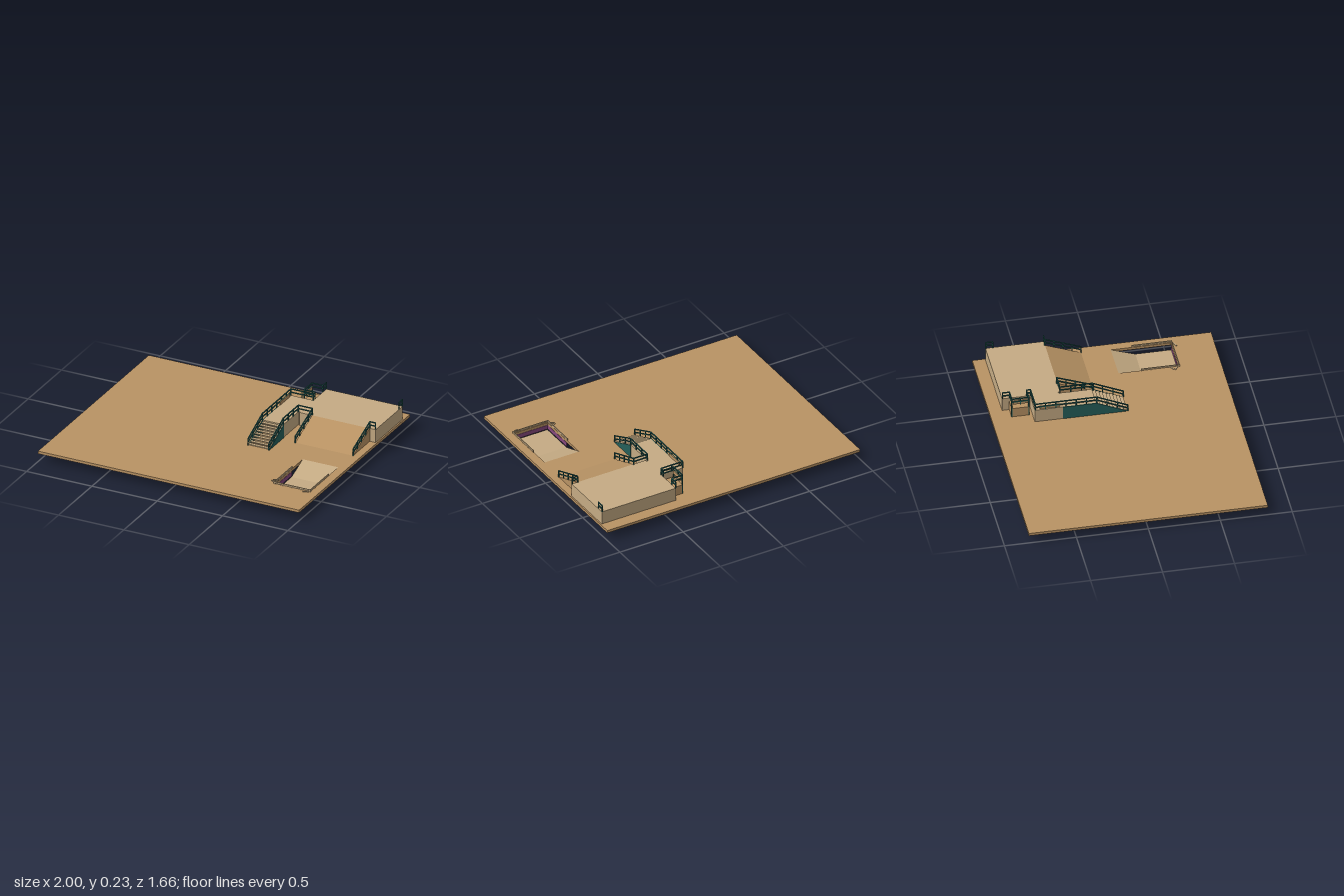
import * as THREE from 'three';

const mat = (name, color) => {
  const m = new THREE.MeshStandardMaterial({ color });
  m.name = name;
  return m;
};

export function createModel() {
  const root = new THREE.Group();
  root.name = 'skateYard';
  const ground = mat('sandyBrown', 0xb99364);
  const deck = mat('beige', 0xc5ab84);
  const teal = mat('darkTeal', 0x245f5a);
  const purple = mat('purple', 0x86487c);

  // Box given by its extents
  const box = (name, m, x0, x1, y0, y1, z0, z1, parent = root) => {
    const mesh = new THREE.Mesh(new THREE.BoxGeometry(x1 - x0, y1 - y0, z1 - z0), m);
    mesh.position.set((x0 + x1) / 2, (y0 + y1) / 2, (z0 + z1) / 2);
    mesh.name = name;
    parent.add(mesh);
    return mesh;
  };

  // Side profile of [z, y] points extruded from x0 to x1
  const profile = (name, m, x0, x1, pts) => {
    const shape = new THREE.Shape(pts.map(([z, y]) => new THREE.Vector2(z, y)));
    const geo = new THREE.ExtrudeGeometry(shape, { depth: x1 - x0, bevelEnabled: false });
    const mesh = new THREE.Mesh(geo, m);
    mesh.rotation.y = -Math.PI / 2;
    mesh.position.x = x1;
    mesh.name = name;
    root.add(mesh);
  };

  // Square bar between two points
  const bar = (m, a, b, t, parent) => {
    const mesh = new THREE.Mesh(new THREE.BoxGeometry(t, t, a.distanceTo(b) + t * 0.8), m);
    mesh.position.copy(a).add(b).multiplyScalar(0.5);
    mesh.lookAt(b);
    mesh.name = 'bar';
    parent.add(mesh);
  };

  // Railing along a path of base points: posts, middle rail, top rail
  const railing = (name, pts, height = 0.05, m = teal, t = 0.007, gap = 0.075) => {
    const g = new THREE.Group();
    g.name = name;
    const up = (p, h) => p.clone().setY(p.y + h);
    const path = pts.map((p) => new THREE.Vector3(...p));
    for (let i = 0; i + 1 < path.length; i++) {
      const a = path[i], b = path[i + 1];
      for (const h of [height, height * 0.5]) bar(m, up(a, h), up(b, h), t, g);
      const n = Math.max(1, Math.round(a.distanceTo(b) / gap));
      for (let k = i ? 1 : 0; k <= n; k++) {
        const p = a.clone().lerp(b, k / n);
        box('post', m, p.x - t / 2, p.x + t / 2, p.y, p.y + height, p.z - t / 2, p.z + t / 2, g);
      }
    }
    root.add(g);
  };

  const G = 0.08, T = 0.178; // ground level and platform level

  // Ground slabs around the pit
  box('groundMain', ground, -1, 0.665, 0.06, G, -0.83, 0.83);
  box('groundBack', ground, 0.665, 1, 0.06, G, -0.83, 0.12);
  box('groundFront', ground, 0.665, 1, 0.06, G, 0.54, 0.83);
  box('groundEdge', ground, 0.935, 1, 0.06, G, 0.12, 0.54);

  // Sunken pit: floor, entry ramp, two painted walls
  box('pitFloor', deck, 0.665, 0.935, 0, 0.02, 0.29, 0.545);
  profile('pitRamp', deck, 0.665, 0.935, [[0.29, 0.006], [0.29, 0.02], [0.12, G], [0.12, 0.066]]);
  box('pitSideWall', purple, 0.66, 0.667, 0.028, 0.06, 0.285, 0.545);
  box('pitEndWall', purple, 0.665, 0.935, 0.028, 0.06, 0.538, 0.545);

  // Low curb rails around the pit
  const curb = [[0.663, G, 0.28], [0.663, G, 0.543], [0.938, G, 0.543], [0.938, G, 0.27]];
  railing('pitCurb', curb, 0.013, deck, 0.006, 0.07);
  [[0.65, 0.49, 0.5], [0.645, 0.52, -0.6], [0.91, 0.56, 0.4]].forEach(([x, z, turn]) => {
    box('loosePlank', deck, x - 0.02, x + 0.02, G, G + 0.006, z - 0.004, z + 0.004).rotation.y = turn;
  });

  // Raised platform and its wide ramp
  box('platform', deck, 0.405, 0.99, G, T, -0.74, -0.335);
  profile('platformRamp', ground, 0.503, 0.945, [[-0.335, G], [-0.085, G], [-0.335, T]]);

  // Landing, upper walkway and rear bay
  box('landing', deck, 0.235, 0.405, G, T, -0.545, -0.35);
  box('walkway', deck, 0.238, 0.395, G, T, -0.35, -0.118);
  box('rearBay', ground, 0.32, 0.405, G, 0.15, -0.69, -0.57);

  // Stairs: treads between side panels
  const steps = 9, run = 0.215 / steps, rise = (T - G) / (steps + 1);
  for (let i = 0; i < steps; i++) {
    const y = T - (i + 1) * rise, z = -0.118 + i * run;
    box('tread', deck, 0.238, 0.395, y - 0.006, y, z, z + run);
  }
  profile('stairLeftPanel', teal, 0.393, 0.399, [[0.1, G], [-0.118, T], [-0.118, G]]);
  profile('stairRightPanel', teal, 0.232, 0.238, [[0.1, G], [-0.118, T], [-0.35, T], [-0.35, G]]);

  // Railings
  railing('outerRailing', [[0.235, G, 0.1], [0.235, T, -0.115], [0.235, T, -0.542], [0.405, T, -0.542],
    [0.405, T, -0.57], [0.322, T, -0.57], [0.322, T, -0.688], [0.405, T, -0.688], [0.405, T, -0.737]]);
  railing('innerRailing', [[0.395, G, 0.1], [0.395, T, -0.115], [0.395, T, -0.34], [0.503, T, -0.34], [0.503, G, -0.085]]);
  railing('rampRailing', [[0.945, G, -0.085], [0.945, T, -0.337], [0.988, T, -0.337]]);
  railing('cornerRailing', [[0.987, T, -0.69], [0.987, T, -0.738]]);
  box('bayFrontPost', teal, 0.319, 0.326, G, T, -0.574, -0.567);
  box('bayBackPost', teal, 0.319, 0.326, G, T, -0.692, -0.685);

  // Boards fixed to the railings
  box('landingBoard', ground, 0.237, 0.243, 0.182, 0.206, -0.51, -0.37);
  box('bayBoard', ground, 0.324, 0.33, 0.18, 0.206, -0.68, -0.575);

  return root;
}
